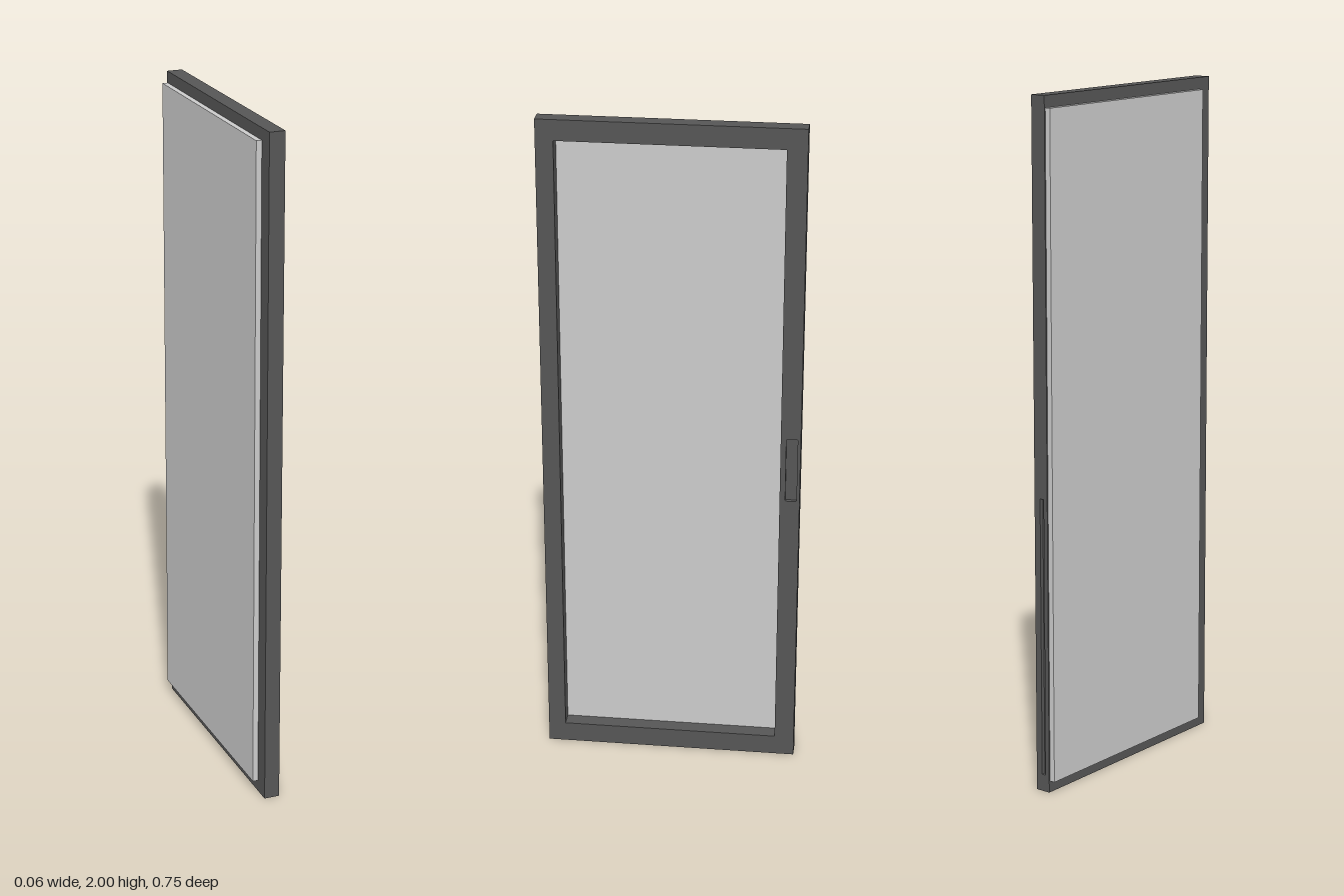
import * as THREE from 'three';

const HALF_WIDTH = 0.377, HEIGHT = 2;

// Rectangle path in the door plane (u runs towards the back, v is up)
function rect(path, u0, u1, v0, v1) {
  path.moveTo(u0, v0);
  path.lineTo(u1, v0);
  path.lineTo(u1, v1);
  path.lineTo(u0, v1);
  path.closePath();
  return path;
}

// Upright slot with slightly rounded corners
function slot(u0, u1, v0, v1, r) {
  const p = new THREE.Path();
  p.moveTo(u0 + r, v0);
  p.lineTo(u1 - r, v0);
  p.quadraticCurveTo(u1, v0, u1, v0 + r);
  p.lineTo(u1, v1 - r);
  p.quadraticCurveTo(u1, v1, u1 - r, v1);
  p.lineTo(u0 + r, v1);
  p.quadraticCurveTo(u0, v1, u0, v1 - r);
  p.lineTo(u0, v0 + r);
  p.quadraticCurveTo(u0, v0, u0 + r, v0);
  return p;
}

// Outer outline, optionally notched along the closing edge
function outline(notched) {
  const s = new THREE.Shape();
  if (!notched) return rect(s, -HALF_WIDTH, HALF_WIDTH, 0, HEIGHT);
  const depth = 0.012, low = 0.05, high = 0.87;
  s.moveTo(-HALF_WIDTH, 0);
  s.lineTo(HALF_WIDTH, 0);
  s.lineTo(HALF_WIDTH, low);
  s.lineTo(HALF_WIDTH - depth, low);
  s.lineTo(HALF_WIDTH - depth, high);
  s.lineTo(HALF_WIDTH, high);
  s.lineTo(HALF_WIDTH, HEIGHT);
  s.lineTo(-HALF_WIDTH, HEIGHT);
  s.closePath();
  return s;
}

export function createModel() {
  const group = new THREE.Group();
  const dark = new THREE.MeshStandardMaterial({ color: 0x565656 });
  const grey = new THREE.MeshStandardMaterial({ color: 0xcccccc });

  // Frame in layers through its thickness, so the recesses are real hollows
  const frame = new THREE.Group();
  frame.name = 'doorFrame';
  const layers = [
    { name: 'frameBack', x0: -0.015, x1: -0.002 },
    { name: 'frameEdgeGroove', x0: -0.002, x1: 0.011, notched: true },
    { name: 'frameCore', x0: 0.011, x1: 0.02 },
    { name: 'frameFaceWithHandleRecess', x0: 0.02, x1: 0.031, handle: true },
  ];
  for (const { name, x0, x1, notched, handle } of layers) {
    const shape = outline(notched);
    shape.holes.push(rect(new THREE.Path(), -0.326, 0.319, 0.061, 1.939));
    if (handle) shape.holes.push(slot(0.335, 0.368, 0.867, 1.066, 0.004));
    const geo = new THREE.ExtrudeGeometry(shape, { depth: x1 - x0, bevelEnabled: false, curveSegments: 4 });
    geo.rotateY(Math.PI / 2);
    const mesh = new THREE.Mesh(geo, dark);
    mesh.name = name;
    mesh.position.x = x0;
    frame.add(mesh);
  }
  group.add(frame);

  // Pane fixed to the rear of the frame
  const pane = new THREE.Mesh(new THREE.BoxGeometry(0.016, 1.932, 0.699), grey);
  pane.name = 'pane';
  pane.position.set(-0.023, 1, -0.0235);
  group.add(pane);

  return group;
}
